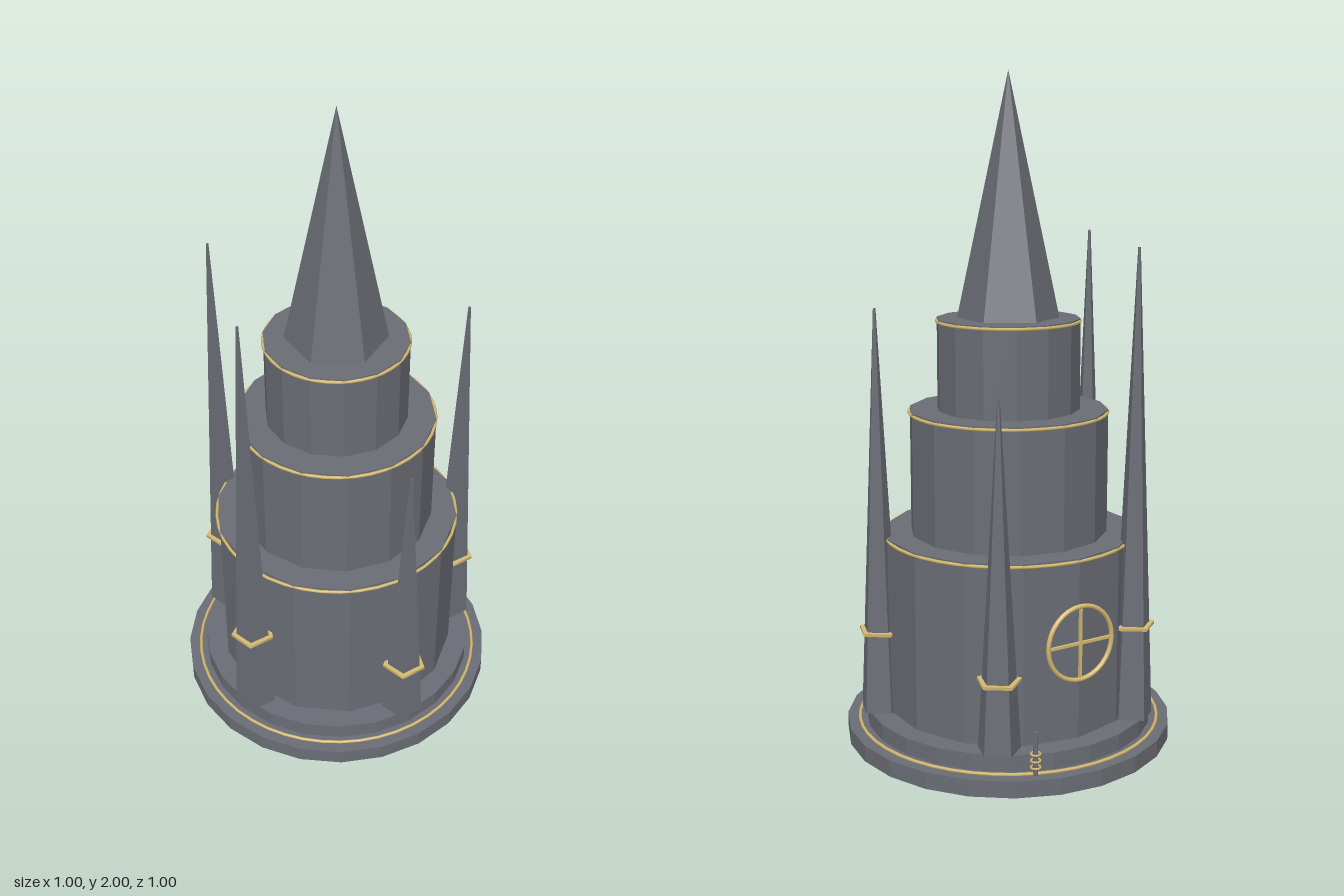
import * as THREE from 'three';

export function createModel() {
  const model = new THREE.Group();
  const stone = new THREE.MeshStandardMaterial({ color: 0x6a6d75, flatShading: true });
  stone.name = 'slate stone';
  const gold = new THREE.MeshStandardMaterial({ color: 0xd6ba72 });
  gold.name = 'gold trim';

  function add(name, geometry, material, x = 0, y = 0, z = 0, parent = model) {
    const mesh = new THREE.Mesh(geometry, material);
    mesh.name = name;
    mesh.position.set(x, y, z);
    parent.add(mesh);
    return mesh;
  }

  // Upright prism between two heights
  const drum = (name, r, y0, y1, sides) =>
    add(name, new THREE.CylinderGeometry(r, r, y1 - y0, sides), stone, 0, (y0 + y1) / 2, 0);

  // Horizontal round ring
  const flatRing = (r, tube, segments) =>
    new THREE.TorusGeometry(r, tube, 6, segments).rotateX(Math.PI / 2);

  // Stepped base
  drum('basePlinth', 0.5, 0, 0.05, 24);
  drum('baseStep', 0.44, 0.05, 0.1, 24);
  add('baseRing', flatRing(0.462, 0.005, 48), gold, 0, 0.053, 0);

  // Three tiers, each with a gold ring just under its top edge
  const tiers = [[0.38, 0.1, 0.64], [0.3, 0.64, 1.014], [0.215, 1.014, 1.286]];
  tiers.forEach(([r, y0, y1], i) => {
    drum(`tier${i + 1}`, r, y0, y1, 14);
    add(`tierRim${i + 1}`, flatRing(r - 0.002, 0.005, 42), gold, 0, y1 - 0.008, 0);
  });

  // Central six-sided spire
  add('centralSpire', new THREE.ConeGeometry(0.152, 0.714, 6), stone, 0, 1.643, 0);

  // Five outer spires of different heights, each with a flat gold band
  const tips = [1.035, 1.325, 1.11, 1.505, 1.525];
  tips.forEach((tip, i) => {
    const a = (i * 2 * Math.PI) / 5;
    const h = tip - 0.1;
    const spire = new THREE.Group();
    spire.name = `outerSpire${i + 1}`;
    spire.position.set(0.4 * Math.sin(a), 0.1, 0.4 * Math.cos(a));
    model.add(spire);
    const body = new THREE.CylinderGeometry(0.004, 0.065, h, 5).rotateY(Math.PI);
    add('spireBody', body, stone, 0, h / 2, 0, spire);
    const band = new THREE.CylinderGeometry(0.068, 0.068, 0.009, 5).rotateY(Math.PI);
    add('spireBand', band, gold, 0, 0.203 * h, 0, spire).geometry = band.toNonIndexed();
  });

  // Wheel emblem on the back wall
  const wheel = new THREE.Group();
  wheel.name = 'backWheel';
  wheel.position.set(0, 0.392, -0.387);
  model.add(wheel);
  add('wheelRim', new THREE.TorusGeometry(0.11, 0.007, 8, 32), gold, 0, 0, 0, wheel);
  add('wheelSpokeUpright', new THREE.BoxGeometry(0.008, 0.22, 0.008), gold, 0, 0, 0, wheel);
  add('wheelSpokeLevel', new THREE.BoxGeometry(0.22, 0.008, 0.008), gold, 0, 0, 0, wheel);

  // Small ringed post on the base at the back
  const post = new THREE.Group();
  post.name = 'ringedPost';
  post.position.set(0.18, 0.05, -0.43);
  model.add(post);
  add('postRod', new THREE.CylinderGeometry(0.007, 0.007, 0.13, 8), stone, 0, 0.065, 0, post);
  for (const y of [0.025, 0.045, 0.065]) {
    add('postRing', flatRing(0.014, 0.003, 12), gold, 0, y, 0, post);
  }

  return model;
}
